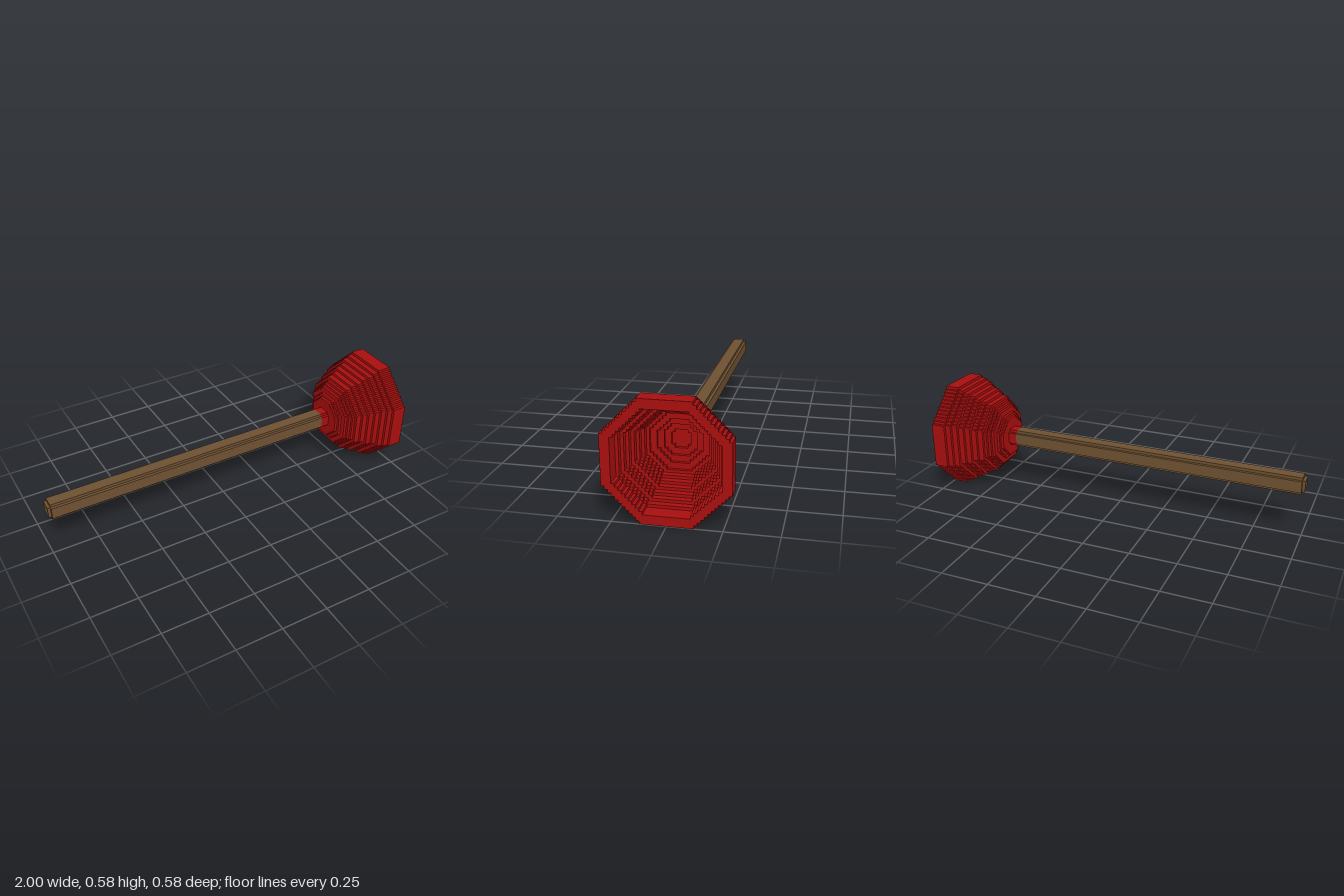
import * as THREE from 'three';
import { mergeGeometries } from 'three/addons/utils/BufferGeometryUtils.js';

const V = 2 / 131;          // edge of one block
const AXIS_Y = 19 * V;      // height of the plunger's axis

const rubberRed = new THREE.MeshStandardMaterial({ color: 0xa80e0e });
const woodBrown = new THREE.MeshStandardMaterial({ color: 0x6e5031 });

// Octagon with stair-stepped diagonals, r blocks from centre to flat side
function steppedOctagon(r) {
  const f = Math.min(r, Math.round(r * 0.42 + 0.4)) || 1;
  const flat = r === 2 ? 2 : f;
  const quarter = [];
  for (let k = 0; k < r - flat; k++) {
    quarter.push([r - k, flat + k], [r - k - 1, flat + k]);
  }
  quarter.push([flat, r]);
  const points = [];
  for (let q = 0; q < 4; q++) {
    for (const [x, y] of quarter) {
      const [a, b] = [[x, y], [-y, x], [-x, -y], [y, -x]][q];
      points.push(new THREE.Vector2(a * V, b * V));
    }
  }
  return points;
}

// Slab along x, from block "start" for "length" blocks, optionally hollow
function slab(start, length, outer, inner = 0) {
  const shape = new THREE.Shape(steppedOctagon(outer));
  if (inner) shape.holes.push(new THREE.Path(steppedOctagon(inner)));
  const geometry = new THREE.ExtrudeGeometry(shape, { depth: length * V, bevelEnabled: false });
  geometry.rotateY(Math.PI / 2);
  geometry.translate(-1 + start * V, AXIS_Y, 0);
  return geometry;
}

function part(name, slabs, material) {
  const mesh = new THREE.Mesh(mergeGeometries(slabs), material);
  mesh.name = name;
  return mesh;
}

export function createModel() {
  const group = new THREE.Group();
  group.name = 'plunger';

  // Wooden handle with a stepped tip
  group.add(part('handle', [slab(0, 1, 2), slab(1, 105, 3)], woodBrown));

  // Rubber collar gripping the handle
  group.add(part('collar', [slab(106, 3, 3)], rubberRed));

  // Hollow rubber cup: [layers, outer radius, inner radius] from base to mouth
  const layers = [
    [1, 7, 0], [1, 8, 3], [1, 10, 5], [1, 11, 7], [1, 12, 9], [2, 13, 10],
    [2, 14, 11], [2, 15, 12], [2, 16, 13], [2, 17, 14], [2, 18, 15], [5, 19, 16],
  ];
  let start = 109;
  const rings = layers.map(([length, outer, inner]) => {
    const ring = slab(start, length, outer, inner);
    start += length;
    return ring;
  });
  group.add(part('cup', rings, rubberRed));

  return group;
}
